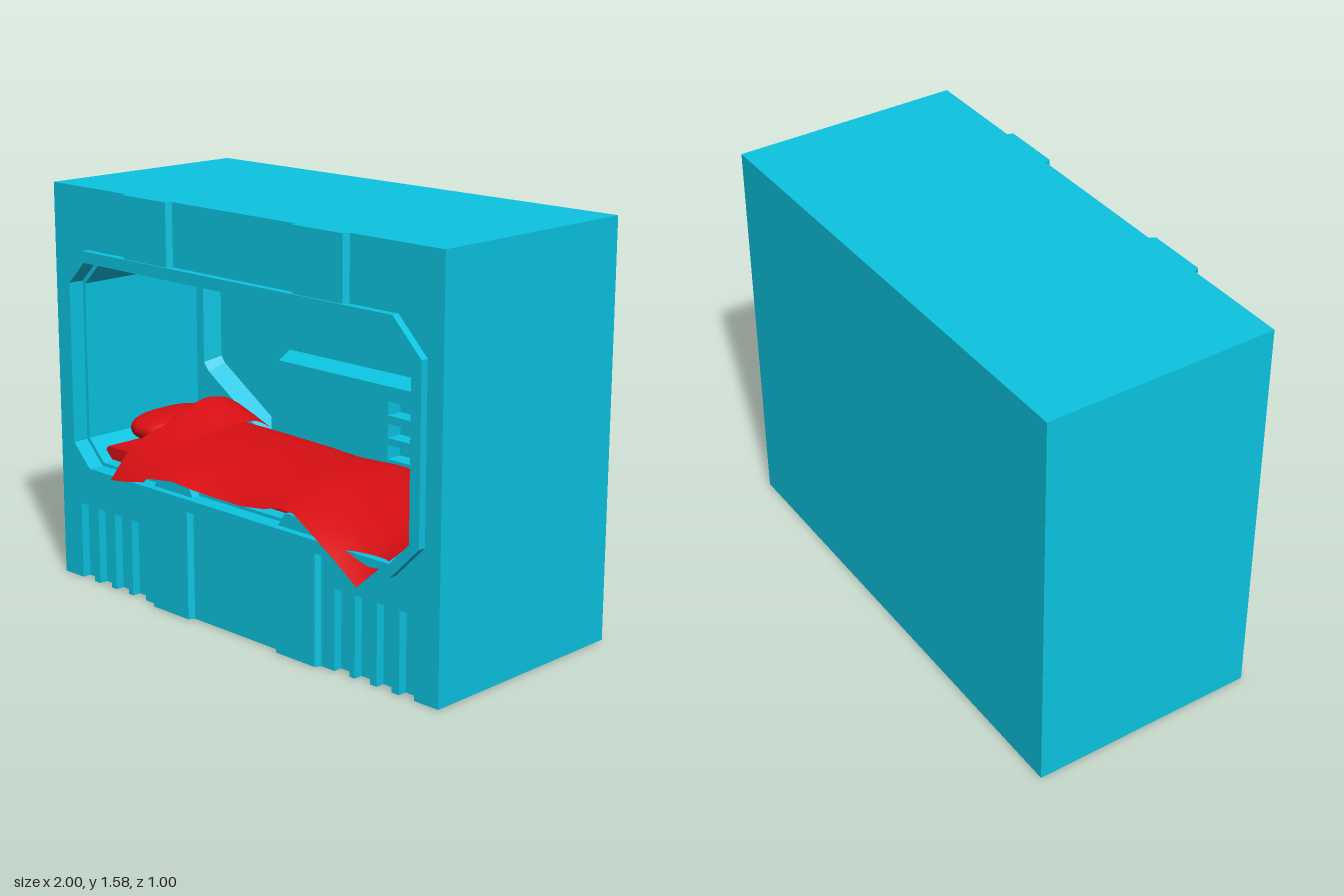
import * as THREE from 'three';

const shellMat = new THREE.MeshStandardMaterial({ color: 0x0cc4e2, side: THREE.DoubleSide });
const clothMat = new THREE.MeshStandardMaterial({ color: 0xd80f14, side: THREE.DoubleSide });

const toPoints = (list) => list.map(([x, y]) => new THREE.Vector2(x, y));

// Chamfered rectangle, symmetric in x
const octagon = (w, y0, y1, c) => [
  [-w + c, y0], [w - c, y0], [w, y0 + c], [w, y1 - c],
  [w - c, y1], [-w + c, y1], [-w, y1 - c], [-w, y0 + c],
];
const rect = (x0, x1, y0, y1) => [[x0, y0], [x1, y0], [x1, y1], [x0, y1]];

function addMesh(group, name, geometry, material) {
  const mesh = new THREE.Mesh(geometry, material);
  mesh.name = name;
  group.add(mesh);
  return mesh;
}

// Slab with holes, from z0 to z1
function slab(outline, holes, z0, z1) {
  const shape = new THREE.Shape(toPoints(outline));
  for (const h of holes) shape.holes.push(new THREE.Path(toPoints(h)));
  const geo = new THREE.ExtrudeGeometry(shape, { depth: z1 - z0, bevelEnabled: false });
  return geo.translate(0, 0, z0);
}

// Sloped band joining two outlines with equal point counts
function band(a, za, b, zb) {
  const pos = [];
  a.forEach((p, i) => {
    const j = (i + 1) % a.length;
    const A = [...p, za], B = [...a[j], za], C = [...b[j], zb], D = [...b[i], zb];
    pos.push(...A, ...B, ...C, ...A, ...C, ...D);
  });
  const geo = new THREE.BufferGeometry();
  geo.setAttribute('position', new THREE.Float32BufferAttribute(pos, 3));
  geo.computeVertexNormals();
  return geo;
}

// Vertical raised rib with chamfered sides on the front face
function rib(x0, x1, y0, y1) {
  const shape = new THREE.Shape(toPoints(
    [[x0, -0.4], [x0, -0.41], [x0 + 0.012, -0.433], [x1 - 0.012, -0.433], [x1, -0.41], [x1, -0.4]]));
  const geo = new THREE.ExtrudeGeometry(shape, { depth: y1 - y0, bevelEnabled: false });
  return geo.rotateX(-Math.PI / 2).translate(0, y0, 0);
}

// Cloth sheet: one smooth section in z and y per x station
function cloth(stations, section) {
  const n = 20, pos = [], index = [];
  stations.forEach((s, i) => {
    const curve = new THREE.CatmullRomCurve3(
      section(s).map(([z, y]) => new THREE.Vector3(s[0], y, z)));
    curve.getPoints(n).forEach((p, k) => {
      pos.push(p.x, p.y, p.z);
      if (i && k) {
        const d = i * (n + 1) + k, c = d - 1, b = d - n - 1, a = b - 1;
        index.push(a, b, d, a, d, c);
      }
    });
  });
  const geo = new THREE.BufferGeometry();
  geo.setAttribute('position', new THREE.Float32BufferAttribute(pos, 3));
  geo.setIndex(index);
  geo.computeVertexNormals();
  return geo;
}

function buildShell() {
  const g = new THREE.Group();
  g.name = 'shell';
  const H = 1.58, block = rect(-1, 1, 0, H);
  const cavity = octagon(0.87, 0.49, 1.28, 0.085);

  // Back wall with a sloped recess and three slots
  const recessOuter = [[-0.83, 1.12], [-0.8, 1.16], [0.31, 1.16], [0.35, 1.12], [0.35, 0.91],
    [0.31, 0.873], [-0.39, 0.873], [-0.435, 0.82], [-0.435, 0.52], [-0.8, 0.755], [-0.83, 0.79]];
  const recessInner = [[-0.8, 1.11], [-0.785, 1.13], [0.3, 1.13], [0.315, 1.11], [0.315, 0.92],
    [0.3, 0.903], [-0.4, 0.903], [-0.465, 0.83], [-0.465, 0.58], [-0.78, 0.785], [-0.8, 0.81]];
  const slots = [0.59, 0.672, 0.76].map((y) => rect(0.195, 0.66, y, y + 0.055));
  addMesh(g, 'backBlock', slab(block, [], -0.5, -0.27), shellMat);
  addMesh(g, 'backWall', slab(block, [recessOuter, ...slots], -0.27, -0.2), shellMat);
  addMesh(g, 'recessSlope', band(recessOuter, -0.2, recessInner, -0.27), shellMat);

  // Bunk cavity
  addMesh(g, 'cavityWalls', slab(block, [cavity], -0.2, 0.375), shellMat);

  // Front face, with vent grooves open at the bottom edge
  const grooves = [[0.51, 0.585], [0.61, 0.685], [0.715, 0.785], [0.82, 0.89]];
  const bottom = grooves.flatMap(([a, b]) => [[a, 0], [a, 0.31], [b, 0.31], [b, 0]]);
  const front = [...bottom.map(([x, y]) => [-x, y]).reverse(), ...bottom, [1, 0], [1, H], [-1, H], [-1, 0]];
  const opening = octagon(0.885, 0.478, 1.295, 0.09);
  addMesh(g, 'frontFace', slab(front, [opening], 0.375, 0.41), shellMat);

  // Raised window frame
  addMesh(g, 'windowFrame', slab(octagon(0.93, 0.43, 1.34, 0.13), [opening], 0.41, 0.44), shellMat);

  // Ribs above and below the window, bed stops on the sill
  for (const s of [-1, 1]) {
    const span = (a, b) => (s > 0 ? [a, b] : [-b, -a]);
    addMesh(g, 'upperRib', rib(...span(0.315, 0.577), 1.335, H), shellMat);
    addMesh(g, 'lowerRib', rib(...span(0.225, 0.447), 0, 0.435), shellMat);
    const stop = [[0.225, 0.475], [0.447, 0.475], [0.41, 0.53], [0.265, 0.53]].map(([x, y]) => [s * x, y]);
    addMesh(g, 'bedStop', slab(stop, [], 0.33, 0.41), shellMat);
  }
  return g;
}

function buildBed() {
  const g = new THREE.Group();
  g.name = 'bed';

  // Mattress
  addMesh(g, 'mattress', slab(octagon(0.83, 0.495, 0.545, 0.02), [], -0.19, 0.33), clothMat);

  // Pillow: a sphere squared off in plan
  const pillow = new THREE.SphereGeometry(1, 32, 20);
  const p = pillow.attributes.position;
  const puff = (v, e) => Math.sign(v) * Math.abs(v) ** e;
  for (let i = 0; i < p.count; i++) {
    p.setXYZ(i, puff(p.getX(i), 0.7) * 0.13, puff(p.getY(i), 0.9) * 0.06, puff(p.getZ(i), 0.7) * 0.2);
  }
  pillow.computeVertexNormals();
  addMesh(g, 'pillow', pillow, clothMat).position.set(-0.72, 0.6, 0.04);

  // Blanket stations: x, top height, hem height, hem z
  const blanket = [
    [-0.6, 0.62, 0.53, 0.4], [-0.45, 0.62, 0.515, 0.45], [-0.3, 0.617, 0.535, 0.45],
    [-0.2, 0.615, 0.52, 0.435], [-0.1, 0.612, 0.51, 0.42], [0.05, 0.605, 0.51, 0.42],
    [0.17, 0.61, 0.53, 0.43], [0.25, 0.615, 0.55, 0.43], [0.33, 0.612, 0.55, 0.435],
    [0.45, 0.6, 0.51, 0.465], [0.58, 0.592, 0.45, 0.485], [0.7, 0.587, 0.385, 0.5],
    [0.75, 0.587, 0.45, 0.44], [0.86, 0.59, 0.565, 0.36],
  ];
  addMesh(g, 'blanket', cloth(blanket, ([, top, hy, hz]) => [
    [-0.195, top - 0.035], [-0.1, top - 0.01], [0.05, top], [0.2, top - 0.008],
    [0.32, Math.max(top - 0.035, hy + 0.01)], [hz, hy],
  ]), clothMat);

  // Folded-back end of the blanket
  const fold = [
    [-0.655, 0.698, 0.465, 0.45], [-0.62, 0.705, 0.472, 0.458],
    [-0.53, 0.675, 0.487, 0.468], [-0.435, 0.64, 0.508, 0.472],
  ];
  addMesh(g, 'blanketFold', cloth(fold, ([, top, hy, hz]) => [
    [-0.197, top - 0.05], [-0.12, top - 0.008], [-0.03, top],
    [0.2, Math.max(top - 0.07, 0.625)], [0.34, 0.575], [hz, hy],
  ]), clothMat);
  return g;
}

export function createModel() {
  const model = new THREE.Group();
  model.name = 'sleepingBunk';
  model.add(buildShell(), buildBed());
  return model;
}
